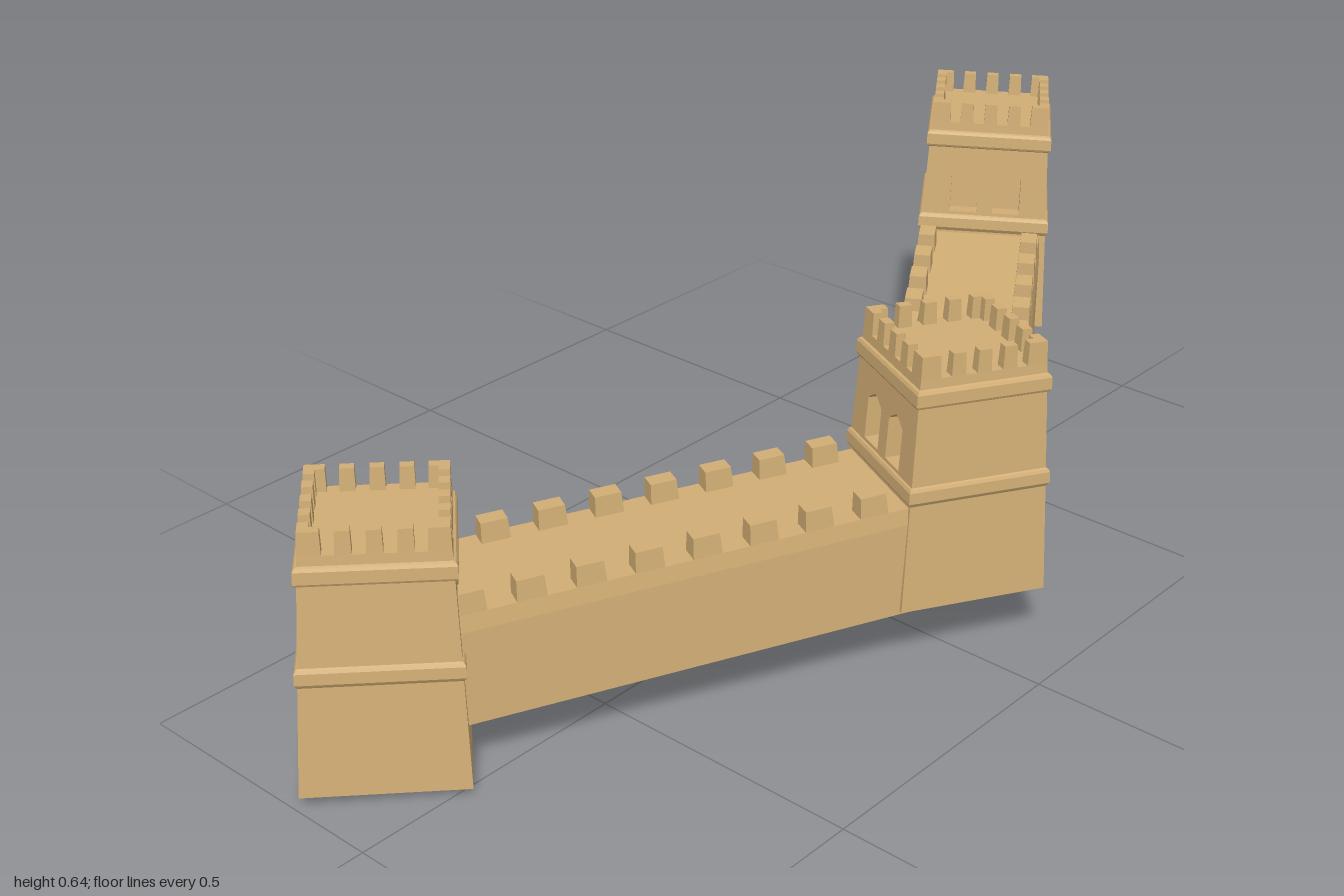
import * as THREE from 'three';

const stone = new THREE.MeshStandardMaterial({ color: 0xd2ae75, side: THREE.DoubleSide });

function add(parent, name, geometry, x = 0, y = 0, z = 0) {
  const mesh = new THREE.Mesh(geometry, stone);
  mesh.name = name;
  mesh.position.set(x, y, z);
  parent.add(mesh);
  return mesh;
}

// Square solid swept from [halfWidth, y] pairs, bottom to top
function squareProfile(pairs) {
  const points = pairs.map(([half, y]) => new THREE.Vector2(half * Math.SQRT2, y));
  const geometry = new THREE.LatheGeometry(points, 4, Math.PI / 4).toNonIndexed();
  geometry.computeVertexNormals();
  return geometry;
}

// Small block standing on y = 0 with slightly drawn-in top
function merlonGeometry(w, h, d, inset = 0.002) {
  const geometry = new THREE.BoxGeometry(w, h, d).translate(0, h / 2, 0);
  const p = geometry.attributes.position;
  for (let i = 0; i < p.count; i++) {
    if (p.getY(i) < h / 2) continue;
    p.setX(i, p.getX(i) - Math.sign(p.getX(i)) * inset);
    p.setZ(i, p.getZ(i) - Math.sign(p.getZ(i)) * inset);
  }
  geometry.computeVertexNormals();
  return geometry;
}

// Front slab of the middle storey with two pointed windows cut through
function windowPanel(y0, y1, half0, half1, depth) {
  const shape = new THREE.Shape([[-half0, y0], [half0, y0], [half1, y1], [-half1, y1]]
    .map(([x, y]) => new THREE.Vector2(x, y)));
  for (const cx of [-0.041, 0.041]) {
    const outline = [[-0.026, 0.226], [-0.026, 0.297], [-0.013, 0.307], [0, 0.314],
      [0.013, 0.307], [0.026, 0.297], [0.026, 0.226]];
    shape.holes.push(new THREE.Path(outline.map(([x, y]) => new THREE.Vector2(cx + x, y))));
  }
  const geometry = new THREE.ExtrudeGeometry(shape, { depth, bevelEnabled: false });
  // Lean the slab to follow the taper of the tower
  const p = geometry.attributes.position;
  for (let i = 0; i < p.count; i++) {
    const t = (p.getY(i) - y0) / (y1 - y0);
    p.setZ(i, p.getZ(i) - depth + half0 + (half1 - half0) * t);
  }
  geometry.computeVertexNormals();
  return geometry;
}

function createTower(name, x, y, z, yawDegrees) {
  const tower = new THREE.Group();
  tower.name = name;
  tower.position.set(x, y, z);
  tower.rotation.y = THREE.MathUtils.degToRad(yawDegrees);

  add(tower, 'lowerStorey', squareProfile([[0, 0], [0.13, 0], [0.1215, 0.187], [0.1235, 0.19],
    [0.126, 0.194], [0.1255, 0.213], [0.123, 0.218], [0.12, 0.22], [0, 0.22]]));
  add(tower, 'upperBandAndRoof', squareProfile([[0, 0.353], [0.1135, 0.353], [0.117, 0.355],
    [0.119, 0.359], [0.1185, 0.379], [0.116, 0.384], [0.112, 0.386], [0.111, 0.402], [0, 0.402]]));

  // Middle storey: core set back behind the window panel
  const depth = 0.03;
  const core = squareProfile([[0, 0.22], [0.12, 0.22], [0.1135, 0.355], [0, 0.355]]);
  const p = core.attributes.position;
  for (let i = 0; i < p.count; i++) if (p.getZ(i) > 0.01) p.setZ(i, p.getZ(i) - depth);
  core.computeVertexNormals();
  add(tower, 'middleStorey', core);
  add(tower, 'windowPanel', windowPanel(0.22, 0.355, 0.12, 0.1135, depth));

  // Merlons: three per side, with L-shaped corners
  for (let side = 0; side < 4; side++) {
    const row = new THREE.Group();
    row.name = 'battlementSide';
    row.rotation.y = side * Math.PI / 2;
    for (let i = -2; i <= 2; i++) {
      const corner = Math.abs(i) === 2;
      const mx = corner ? Math.sign(i) * 0.0935 : i * 0.045;
      add(row, 'merlon', merlonGeometry(corner ? 0.035 : 0.025, 0.04, 0.02, 0.0015), mx, 0.4, 0.101);
    }
    tower.add(row);
  }
  return tower;
}

function createWall(name, start, end) {
  const wall = new THREE.Group();
  wall.name = name;
  wall.position.copy(start);
  wall.lookAt(end);
  const length = start.distanceTo(end);

  // Section: upright sides, then a sloping parapet up to the walkway
  const half = [[0.121, 0], [0.118, 0.16], [0.114, 0.188]];
  const section = new THREE.Shape([...half, ...half.slice().reverse().map(([x, y]) => [-x, y])]
    .map(([x, y]) => new THREE.Vector2(x, y)));
  add(wall, 'wallBody', new THREE.ExtrudeGeometry(section, { depth: length, bevelEnabled: false }));

  for (let z = 0.026; z < length - 0.1; z += 0.094) {
    for (const s of [-1, 1]) add(wall, 'wallMerlon', merlonGeometry(0.034, 0.036, 0.048), s * 0.097, 0.187, z);
  }
  return wall;
}

export function createModel() {
  const model = new THREE.Group();
  model.name = 'fortifiedWall';
  // The whole structure leans slightly backwards
  model.rotation.x = -0.055;

  model.add(createTower('frontTower', -0.165, -0.032, 0.811, -131));
  model.add(createTower('middleTower', 0.256, 0.1175, -0.039, -27));
  model.add(createTower('backTower', -0.247, 0.235, -0.81, 35.5));

  // Each wall climbs from one tower to the next
  model.add(createWall('frontWall', new THREE.Vector3(-0.121, 0.058, 0.723), new THREE.Vector3(0.256, 0.121, -0.039)));
  model.add(createWall('backWall', new THREE.Vector3(0.228, 0.178, -0.081), new THREE.Vector3(-0.247, 0.238, -0.81)));
  return model;
}
